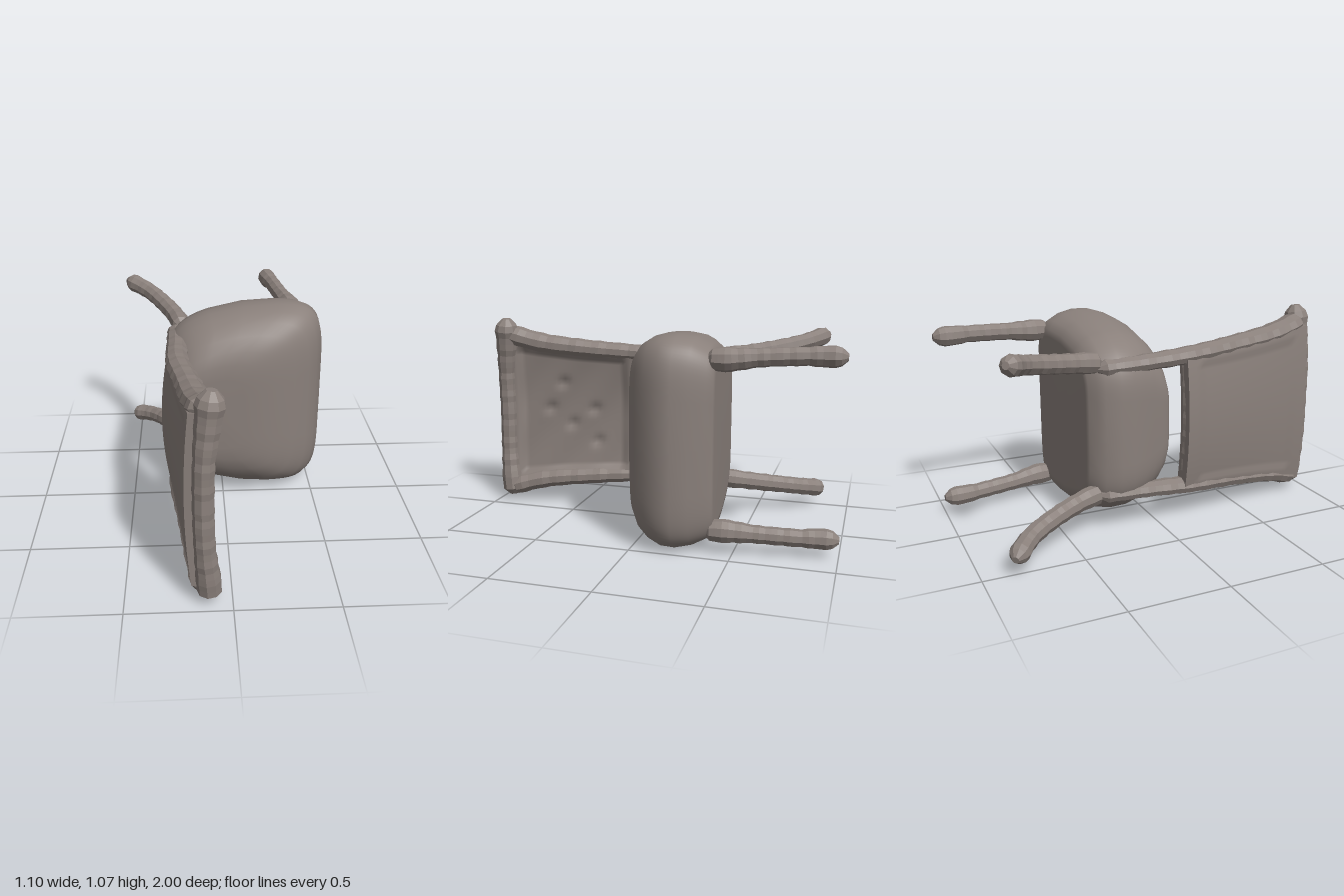
import * as THREE from 'three';

const MID = 0.53; // mirror plane of the chair, which lies on its side (its own "up" is +z)

// Closed skin through rings of points that run counter-clockwise about the travel direction
function loft(rings, faceted) {
  const n = rings[0].length, pos = [], idx = [];
  rings.forEach(r => r.forEach(p => pos.push(p.x, p.y, p.z)));
  for (let i = 0; i < rings.length - 1; i++) {
    for (let j = 0; j < n; j++) {
      const a = i * n + j, b = i * n + (j + 1) % n;
      idx.push(a, b, b + n, a, b + n, a + n);
    }
  }
  [0, rings.length - 1].forEach((i, end) => {
    const c = new THREE.Vector3();
    rings[i].forEach(p => c.addScaledVector(p, 1 / n));
    const k = pos.length / 3;
    pos.push(c.x, c.y, c.z);
    for (let j = 0; j < n; j++) {
      const a = i * n + j, b = i * n + (j + 1) % n;
      if (end) idx.push(k, a, b); else idx.push(k, b, a);
    }
  });
  let g = new THREE.BufferGeometry();
  g.setAttribute('position', new THREE.Float32BufferAttribute(pos, 3));
  g.setIndex(idx);
  if (faceted) g = g.toNonIndexed();
  g.computeVertexNormals();
  return g;
}

// Slightly knobbly rod through points [x, y, z, radius], with rounded ends;
// depth widens its section along x
function limb(pts, steps = 22, depth = 1) {
  const sides = 9;
  const curve = new THREE.CatmullRomCurve3(pts.map(p => new THREE.Vector3(p[0], p[1], p[2])));
  const frames = curve.computeFrenetFrames(steps, false);
  const length = curve.getLength(), rings = [];
  for (let i = 0; i <= steps; i++) {
    const t = i / steps, u = curve.getUtoTmapping(t) * (pts.length - 1);
    const k = Math.min(Math.floor(u), pts.length - 2);
    let r = THREE.MathUtils.lerp(pts[k][3], pts[k + 1][3], u - k);
    const e = Math.min(1, Math.min(t, 1 - t) * length / r);
    r *= Math.sqrt(Math.max(0.12, 1 - (1 - e) ** 2)) * (1 + 0.04 * Math.sin(i * 2.3));
    const c = curve.getPointAt(t), ring = [];
    for (let j = 0; j < sides; j++) {
      const a = j / sides * Math.PI * 2;
      const p = c.clone().addScaledVector(frames.normals[i], Math.cos(a) * r)
        .addScaledVector(frames.binormals[i], Math.sin(a) * r);
      p.x = c.x + (p.x - c.x) * depth;
      ring.push(p);
    }
    rings.push(ring);
  }
  return loft(rings, true);
}

// Rounded seat cushion: narrower at the back, domed on the sitting side
function seatGeometry() {
  const levels = [ // z, back x, front x, half width
    [-0.395, -0.19, 0.42, 0.40], [-0.39, -0.22, 0.455, 0.44], [-0.36, -0.25, 0.48, 0.48],
    [-0.30, -0.29, 0.515, 0.515], [-0.22, -0.31, 0.55, 0.53], [-0.15, -0.305, 0.545, 0.53],
    [-0.08, -0.285, 0.51, 0.51], [-0.02, -0.26, 0.46, 0.475], [0.03, -0.24, 0.38, 0.42],
    [0.065, -0.225, 0.28, 0.35], [0.082, -0.21, 0.19, 0.28], [0.09, -0.19, 0.11, 0.2],
  ];
  const n = 72;
  return loft(levels.map(([z, x0, x1, w], i) => {
    const ring = [], pw = v => Math.sign(v) * Math.abs(v) ** (0.29 + 0.012 * i);
    for (let j = 0; j < n; j++) {
      const a = j / n * Math.PI * 2, u = pw(Math.cos(a)), v = pw(Math.sin(a));
      const taper = u < 0.4 ? 1 - 0.27 * ((0.4 - u) / 1.4) ** 2 : 1;
      const x = (x0 + x1) / 2 + u * (x1 - x0) / 2;
      const tilt = i < 3 ? 0.06 * (0.3 - x) - 0.005 : 0; // the underside rises to the back
      ring.push(new THREE.Vector3(x, MID + v * w * taper, z + tilt));
    }
    return ring;
  }));
}

// Curved back panel with a recessed front, soft puckers and a gentle backward bow
function panelGeometry() {
  const g = new THREE.BoxGeometry(1, 2, 1, 1, 36, 32);
  const p = g.attributes.position;
  const puckers = [[0.70, 0.55], [0.44, 0.55], [0.57, 0.46], [0.62, 0.70], [0.42, 0.36]];
  for (let i = 0; i < p.count; i++) {
    const v = p.getY(i), s = p.getZ(i) + 0.5;
    const z = 0.14 + s * 0.79;
    const y = MID + v * (0.36 + 0.08 * s * s);
    let x = -0.24 + 0.1 * s - 0.035 * (1 - v * v) * (1 - 0.3 * s);
    if (p.getX(i) > 0) {
      const inside = Math.abs(v) < 0.84 && z > 0.26 && z < 0.87;
      x += inside ? 0.018 + 0.004 * Math.sin(z * 23 + y * 17) : 0.042;
      puckers.forEach(([pz, py]) => {
        x -= 0.02 * Math.exp(-((z - pz) ** 2 + (y - py) ** 2) / 0.0008);
      });
    } else {
      x -= Math.abs(v) < 0.86 && s > 0.12 && s < 0.9 ? 0.042 : 0.05;
    }
    p.setXYZ(i, x, y, z);
  }
  g.computeVertexNormals();
  return g;
}

export function createModel() {
  const group = new THREE.Group();
  group.name = 'fallenChair';
  const taupe = new THREE.MeshStandardMaterial({ color: 0x8a807b });
  taupe.name = 'taupe';
  const add = (name, geometry) => {
    const mesh = new THREE.Mesh(geometry, taupe);
    mesh.name = name;
    group.add(mesh);
  };

  add('seat', seatGeometry());
  add('backPanel', panelGeometry());

  // Rails and legs on both sides; s is the side, d the distance from the mirror plane
  [[1, 'Upper'], [-1, 'Lower']].forEach(([s, side]) => {
    const at = (x, d, z, r) => [x, MID + s * d, z, r];
    add('backRail' + side, limb([
      at(-0.24, 0.33, -0.33, 0.042), at(-0.24, 0.34, -0.05, 0.042), at(-0.235, 0.355, 0.2, 0.046),
      at(-0.19, 0.375, 0.48, 0.05), at(-0.15, 0.405, 0.74, 0.055), at(-0.115, 0.46, 0.94, 0.056),
    ], 30, 1.3));
    add('frontLeg' + side, limb([
      at(0.405, 0.42, -0.36, 0.06), at(0.395, 0.42, -0.47, 0.058), at(0.37, 0.43, -0.6, 0.045),
      at(0.335, 0.44, -0.82, 0.044), at(0.32, 0.44, -0.9, 0.052), at(0.315, 0.44, -1.0, 0.048),
    ]));
    add('rearLeg' + side, limb([
      at(-0.21, 0.34, -0.3, 0.06), at(-0.24, 0.355, -0.42, 0.05), at(-0.32, 0.385, -0.6, 0.048),
      at(-0.41, 0.415, -0.74, 0.047), at(-0.535, 0.45, -0.85, 0.052),
    ].map(([x, y, z, r]) => [x, y + 0.012, z, r])));
  });

  // Cross rails of the backrest
  add('topRail', limb([
    [-0.105, 0.03, 0.92, 0.068], [-0.11, 0.12, 0.93, 0.06], [-0.125, 0.3, 0.945, 0.05],
    [-0.13, MID, 0.945, 0.05], [-0.125, 0.76, 0.945, 0.05], [-0.105, 0.94, 0.93, 0.06],
    [-0.09, 1.07, 0.92, 0.072],
  ], 30));
  add('lowerBackRail', limb([
    [-0.235, 0.17, 0.185, 0.046], [-0.255, 0.34, 0.185, 0.05], [-0.268, MID, 0.185, 0.052],
    [-0.255, 0.72, 0.185, 0.05], [-0.235, 0.89, 0.185, 0.046],
  ]));
  return group;
}
